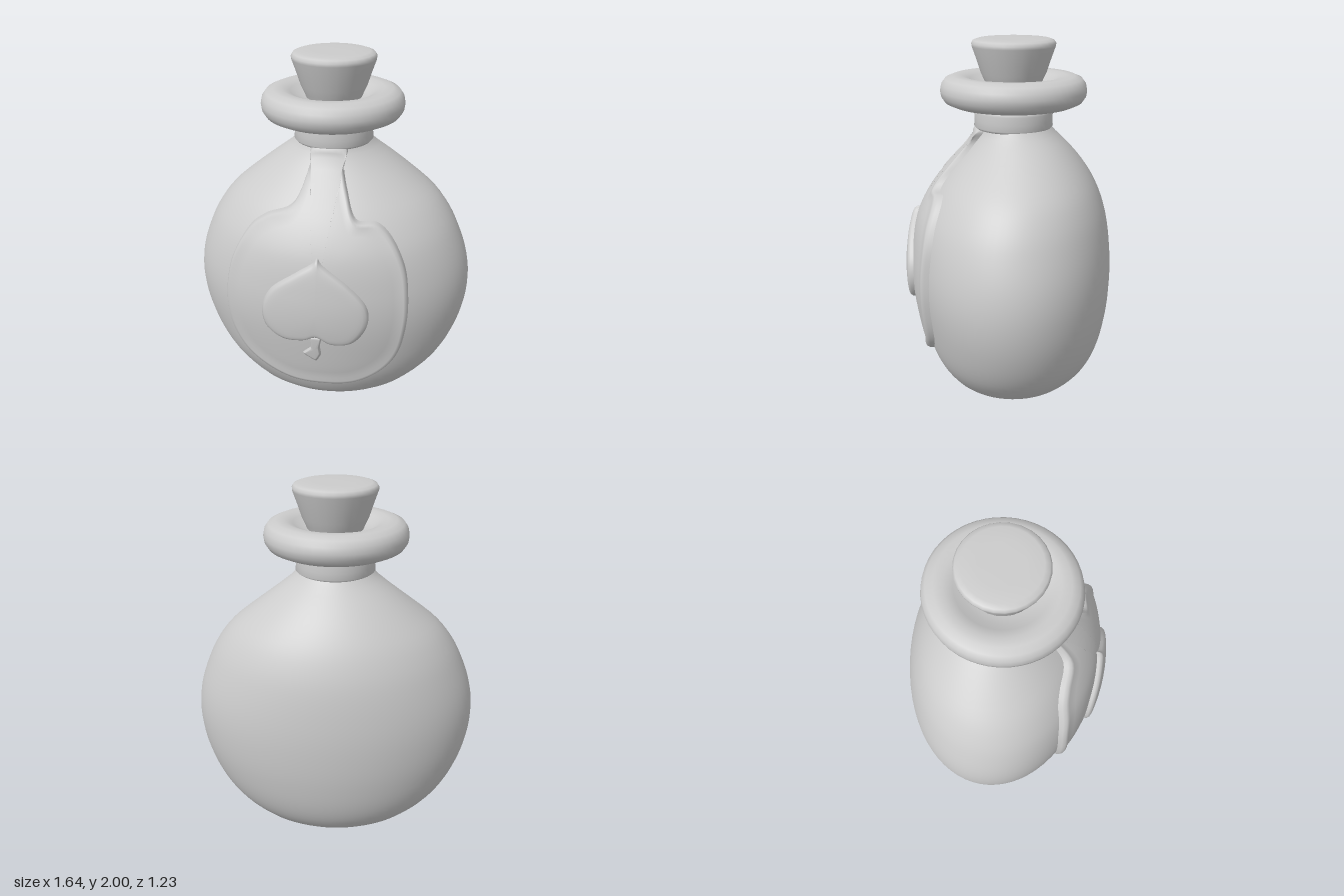
import * as THREE from 'three';

const material = new THREE.MeshStandardMaterial({ color: 0xcccccc, side: THREE.DoubleSide });
const CENTER_Z = -0.03;

// Flask profile: [height, half width, front z, back z]
const profile = [
  [0, 0.5, 0.37, -0.43], [0.04, 0.545, 0.4, -0.465], [0.1, 0.61, 0.435, -0.51],
  [0.2, 0.69, 0.475, -0.555], [0.4, 0.78, 0.515, -0.597], [0.62, 0.82, 0.54, -0.612],
  [0.8, 0.805, 0.535, -0.605], [1.0, 0.735, 0.5, -0.575], [1.1, 0.68, 0.455, -0.545],
  [1.2, 0.6, 0.39, -0.5], [1.3, 0.48, 0.305, -0.435], [1.4, 0.35, 0.215, -0.35],
  [1.5, 0.225, 0.155, -0.25], [1.54, 0.2, 0.15, -0.22],
];
const interpolant = new THREE.CubicInterpolant(
  profile.map(p => p[0]), profile.flatMap(p => p.slice(1)), 3, new Float32Array(3));

// Elliptical section of the flask at a height
function section(y) {
  const [w, front, back] = interpolant.evaluate(y);
  return { w, c: (front + back) / 2, d: (front - back) / 2 };
}

// Front surface of the flask
function surfaceZ(x, y) {
  const { w, c, d } = section(y);
  return c + d * Math.sqrt(Math.max(0, 1 - (x / w) ** 2));
}

// Skin over a list of closed rings with equal point counts
function loft(name, rings) {
  const n = rings[0].length, index = [];
  for (let r = 0; r < rings.length - 1; r++) {
    for (let i = 0; i < n; i++) {
      const a = r * n + i, b = r * n + (i + 1) % n;
      index.push(a, b, a + n, b, b + n, a + n);
    }
  }
  const geometry = new THREE.BufferGeometry();
  geometry.setAttribute('position', new THREE.Float32BufferAttribute(rings.flat(2), 3));
  geometry.setIndex(index);
  geometry.computeVertexNormals();
  const mesh = new THREE.Mesh(geometry, material);
  mesh.name = name;
  return mesh;
}

function flaskBody() {
  const ring = (y, s = 1, sink = 0) => {
    const { w, c, d } = section(y);
    return Array.from({ length: 72 }, (_, i) => {
      const a = (i / 72) * Math.PI * 2;
      return [w * s * Math.cos(a), y + sink, c - d * s * Math.sin(a)];
    });
  };
  // slightly recessed base with a rounded foot
  const rings = [ring(0, 0.001, 0.015), ring(0, 0.86, 0.015), ring(0, 0.9, 0.008), ring(0, 0.93), ring(0, 0.975), ring(0, 1, 0.014)];
  for (let k = 1; k <= 44; k++) rings.push(ring((k / 44) * 1.54));
  return loft('flaskBody', rings);
}

// Raised shape that follows the front of the flask; steps are [scale, height]
function relief(name, outline, center, steps, tension = 0.5) {
  const curve = new THREE.CatmullRomCurve3(
    outline.map(([x, y]) => new THREE.Vector3(x, y, 0)), true, 'catmullrom', tension);
  const edge = curve.getPoints(144).slice(0, -1);
  const rings = steps.map(([s, h]) => edge.map(p => {
    const x = center[0] + (p.x - center[0]) * s, y = center[1] + (p.y - center[1]) * s;
    return [x, y, surfaceZ(x, y) + h];
  }));
  return loft(name, rings);
}

// Edge steps followed by an even, gently domed interior
function domeSteps(edgeSteps, height, dome) {
  const s0 = edgeSteps.at(-1)[0], steps = [...edgeSteps];
  for (let k = 1; k <= 12; k++) {
    const s = Math.max(0.001, s0 * (1 - k / 12));
    steps.push([s, height + dome * (1 - s * s)]);
  }
  return steps;
}

function lathe(name, points, segments) {
  const geometry = new THREE.LatheGeometry(points.map(([r, y]) => new THREE.Vector2(r, y)), segments);
  const mesh = new THREE.Mesh(geometry, material);
  mesh.name = name;
  mesh.position.z = CENTER_Z;
  return mesh;
}

export function createModel() {
  const group = new THREE.Group();
  group.name = 'stopperedFlask';
  group.add(flaskBody());

  // Medallion hanging from the neck by a tapering strap
  const panel = [
    [-0.085, 1.51], [-0.095, 1.42], [-0.16, 1.25], [-0.31, 1.18], [-0.41, 1.1], [-0.5, 0.94],
    [-0.54, 0.78], [-0.55, 0.62], [-0.53, 0.47], [-0.455, 0.33], [-0.33, 0.24], [-0.17, 0.18],
    [0, 0.17], [0.2, 0.185], [0.355, 0.27], [0.445, 0.4], [0.485, 0.6], [0.485, 0.78],
    [0.46, 0.94], [0.39, 1.085], [0.3, 1.17], [0.185, 1.19], [0.125, 1.31], [0.09, 1.42], [0.095, 1.51],
  ];
  group.add(relief('medallion', panel, [0, 0.8],
    domeSteps([[1, -0.03], [1, 0.025], [0.985, 0.04], [0.955, 0.042], [0.92, 0.032]], 0.032, 0.003)));

  // Spade ornament and its stem
  const spade = [
    [0, 1.015], [-0.03, 0.985], [-0.12, 0.925], [-0.255, 0.82], [-0.31, 0.7], [-0.29, 0.58],
    [-0.2, 0.515], [-0.08, 0.52], [0, 0.55], [0.09, 0.505], [0.2, 0.52], [0.275, 0.63],
    [0.268, 0.75], [0.17, 0.87], [0.03, 0.98],
  ];
  group.add(relief('spadeOrnament', spade, [0, 0.7],
    domeSteps([[1, 0.02], [1, 0.05], [0.96, 0.063], [0.9, 0.067]], 0.067, 0.005)));
  const stem = [[-0.035, 0.56], [-0.035, 0.47], [-0.085, 0.415], [-0.01, 0.365], [0.02, 0.42], [0.015, 0.48], [0.03, 0.56]];
  group.add(relief('spadeStem', stem, [-0.015, 0.46],
    domeSteps([[1, 0.02], [1, 0.038], [0.8, 0.055]], 0.055, 0.003), 0.2));

  // Collar around the neck
  group.add(lathe('neckCollar', [
    [0.19, 1.5], [0.215, 1.502], [0.226, 1.515], [0.222, 1.55], [0.226, 1.595], [0.217, 1.612],
    [0.205, 1.617], [0.205, 1.65],
  ], 40));

  // Flattened lip ring
  const lip = lathe('lipRing', [
    [0.16, 1.625], [0.25, 1.622], [0.335, 1.632], [0.378, 1.652], [0.398, 1.682], [0.403, 1.715],
    [0.396, 1.75], [0.375, 1.78], [0.335, 1.797], [0.285, 1.797], [0.24, 1.782], [0.2, 1.755], [0.15, 1.745],
  ], 48);
  lip.position.x = -0.005;
  lip.scale.z = 1.03;
  group.add(lip);

  // Tapered stopper
  group.add(lathe('stopper', [
    [0.15, 1.73], [0.166, 1.77], [0.185, 1.81], [0.211, 1.89], [0.234, 1.955], [0.236, 1.972],
    [0.226, 1.988], [0.2, 1.997], [0.12, 2], [0, 2],
  ], 28));
  return group;
}
